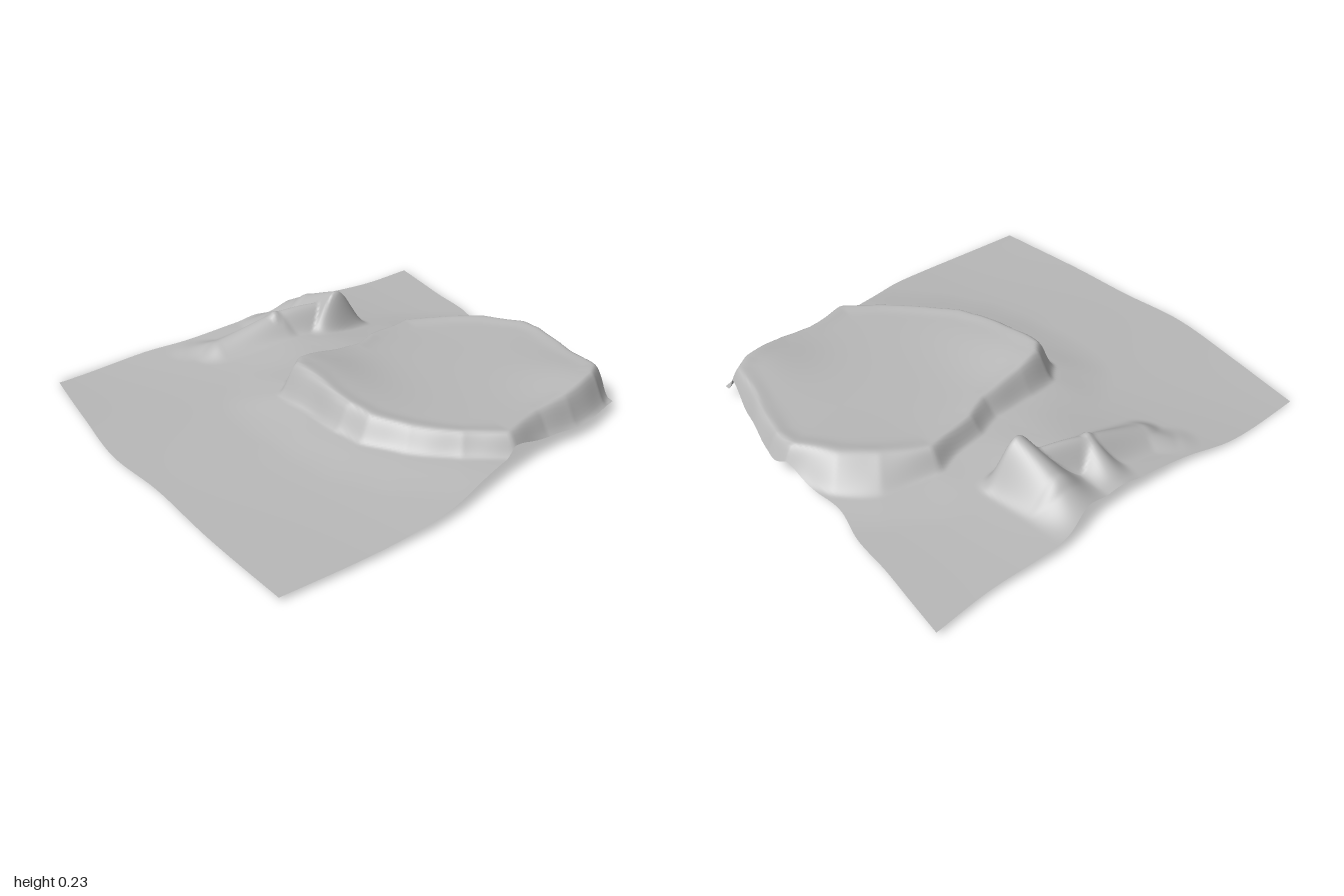
import * as THREE from 'three';

const smooth = (a, b, x) => THREE.MathUtils.smoothstep(x, a, b);
const gauss = (x, z, cx, cz, r) => Math.exp(-((x - cx) ** 2 + (z - cz) ** 2) / (r * r));
const curve = pts => new THREE.CatmullRomCurve3(pts.map(([x, z]) => new THREE.Vector3(x, 0, z)));

// Wavy borders of the sheet
const back = curve([[-0.94, -1], [-0.75, -0.975], [-0.6, -0.955], [-0.42, -0.94], [-0.25, -0.9], [-0.12, -0.915],
  [0, -0.925], [0.1, -0.95], [0.2, -0.935], [0.4, -0.885], [0.6, -0.835], [0.67, -0.83]]);
const front = curve([[-0.86, 0.91], [-0.5, 0.96], [-0.15, 1], [0.15, 0.975], [0.5, 0.97], [0.93, 0.945]]);
const left = curve([[-0.94, -1], [-0.91, -0.75], [-0.905, -0.4], [-0.85, -0.2], [-0.845, 0.1],
  [-0.855, 0.3], [-0.885, 0.5], [-0.86, 0.91]]);
const right = curve([[0.67, -0.83], [0.74, -0.6], [0.745, -0.4], [0.775, -0.2], [0.83, 0],
  [0.89, 0.2], [0.915, 0.4], [0.925, 0.6], [0.93, 0.945]]);

// Rim of the raised plateau
const rim = [[-0.295, -0.5], [-0.25, -0.27], [-0.19, -0.16], [-0.175, 0.05], [-0.15, 0.17], [-0.1, 0.22],
  [0.1, 0.21], [0.25, 0.205], [0.36, 0.175], [0.5, 0.09], [0.65, -0.05], [0.75, -0.2], [0.69, -0.4],
  [0.69, -0.55], [0.64, -0.75], [0.58, -0.82], [0.4, -0.86], [0.15, -0.92], [0.05, -0.91], [-0.1, -0.8], [-0.2, -0.68]];

// Nearest point on a segment: distance and position along it
function nearest(x, z, [ax, az], [bx, bz]) {
  const dx = bx - ax, dz = bz - az;
  const t = THREE.MathUtils.clamp(((x - ax) * dx + (z - az) * dz) / (dx * dx + dz * dz), 0, 1);
  return { d: Math.hypot(x - ax - dx * t, z - az - dz * t), t };
}

// Distance to the rim, negative inside it
function rimDistance(x, z) {
  let d = 9, inside = false;
  rim.forEach((a, i) => {
    const b = rim[(i + 1) % rim.length];
    d = Math.min(d, nearest(x, z, a, b).d);
    if ((a[1] > z) !== (b[1] > z) && x < a[0] + (z - a[1]) * (b[0] - a[0]) / (b[1] - a[1])) inside = !inside;
  });
  return inside ? -d : d;
}

// Folds near the left border: start, end, heights, width
const folds = [
  [[-0.9, -0.27], [-0.72, -0.28], 0.01, 0.1, 0.16],
  [[-0.72, -0.28], [-0.53, -0.3], 0.1, 0.175, 0.16],
  [[-0.58, -0.27], [-0.63, -0.05], 0.11, 0.09, 0.1],
  [[-0.63, -0.05], [-0.66, 0.24], 0.09, 0.045, 0.12],
  [[-0.82, -0.05], [-0.63, -0.03], 0.01, 0.1, 0.1],
  [[-0.76, 0.33], [-0.65, 0.2], 0.01, 0.05, 0.1],
];

// Ground swell, highest along the middle and lowest at the front left corner
function ground(x, z) {
  return 0.019 + 0.033 * Math.exp(-(((z + 0.12) / 0.48) ** 2))
    + 0.016 * gauss(x, z, 0.1, 0.3, 0.5) + 0.006 * gauss(x, z, 0, 1, 0.5)
    - 0.017 * gauss(x, z, -0.88, 0.85, 0.45)
    + 0.002 * Math.sin(5 * x + 2 * z) * Math.sin(4 * z - x);
}

function height(x, z) {
  const base = ground(x, z);
  // Plateau with a higher front left and back right
  const d = rimDistance(x, z) + 0.005 * Math.sin(22 * x + 9 * z) * Math.sin(17 * z - 6 * x);
  const top = 0.145 + 0.055 * gauss(x, z, -0.08, 0.18, 0.22) + 0.025 * gauss(x, z, 0.2, 0.2, 0.25)
    + 0.035 * gauss(x, z, 0.58, -0.72, 0.22) - 0.015 * gauss(x, z, -0.28, -0.5, 0.25)
    + 0.008 * gauss(d, 0, -0.02, 0, 0.04);
  // Wall is steep on the left, soft at the back left
  const width = 0.06 + 0.08 * gauss(x, z, -0.22, -0.78, 0.2) - 0.025 * gauss(x, z, -0.28, -0.38, 0.15);
  const wall = 0.8 * (1 - smooth(-0.02, width, d)) + 0.2 * (1 - smooth(0, 0.3, d));
  // Folds merge by their highest value and drop steeply on the right
  let fold = 0;
  for (const [a, b, h0, h1, w] of folds) {
    const { d: r, t } = nearest(x, z, a, b);
    fold = Math.max(fold, THREE.MathUtils.lerp(h0, h1, t) * (1 - smooth(0, w, r)));
  }
  fold *= 1 - smooth(-0.535, -0.46, x);
  return base + (top - base) * wall + fold + 0.025 * gauss(x, z, -0.56, -0.1, 0.25);
}

export function createModel() {
  const group = new THREE.Group();
  const grey = new THREE.MeshStandardMaterial({ color: 0xb8b8b8, side: THREE.DoubleSide });
  grey.name = 'grey';

  // Sheet blended between its four borders, then raised by the height rule
  const n = 170;
  const geo = new THREE.PlaneGeometry(1, 1, n, n);
  const pos = geo.attributes.position;
  const [B, F, L, R] = [back, front, left, right].map(c => c.getSpacedPoints(n));
  const blend = (i, j, k) => {
    const u = i / n, v = j / n;
    return (1 - v) * B[i][k] + v * F[i][k] + (1 - u) * L[j][k] + u * R[j][k]
      - (1 - u) * (1 - v) * B[0][k] - u * (1 - v) * B[n][k] - (1 - u) * v * F[0][k] - u * v * F[n][k];
  };
  for (let j = 0; j <= n; j++) for (let i = 0; i <= n; i++) {
    const x = blend(i, j, 'x'), z = blend(i, j, 'z');
    pos.setXYZ(j * (n + 1) + i, x, height(x, z), z);
  }
  geo.computeVertexNormals();
  geo.computeBoundingBox();
  geo.translate(0, -geo.boundingBox.min.y, 0);

  const sheet = new THREE.Mesh(geo, grey);
  sheet.name = 'drapedSheet';
  group.add(sheet);
  return group;
}
